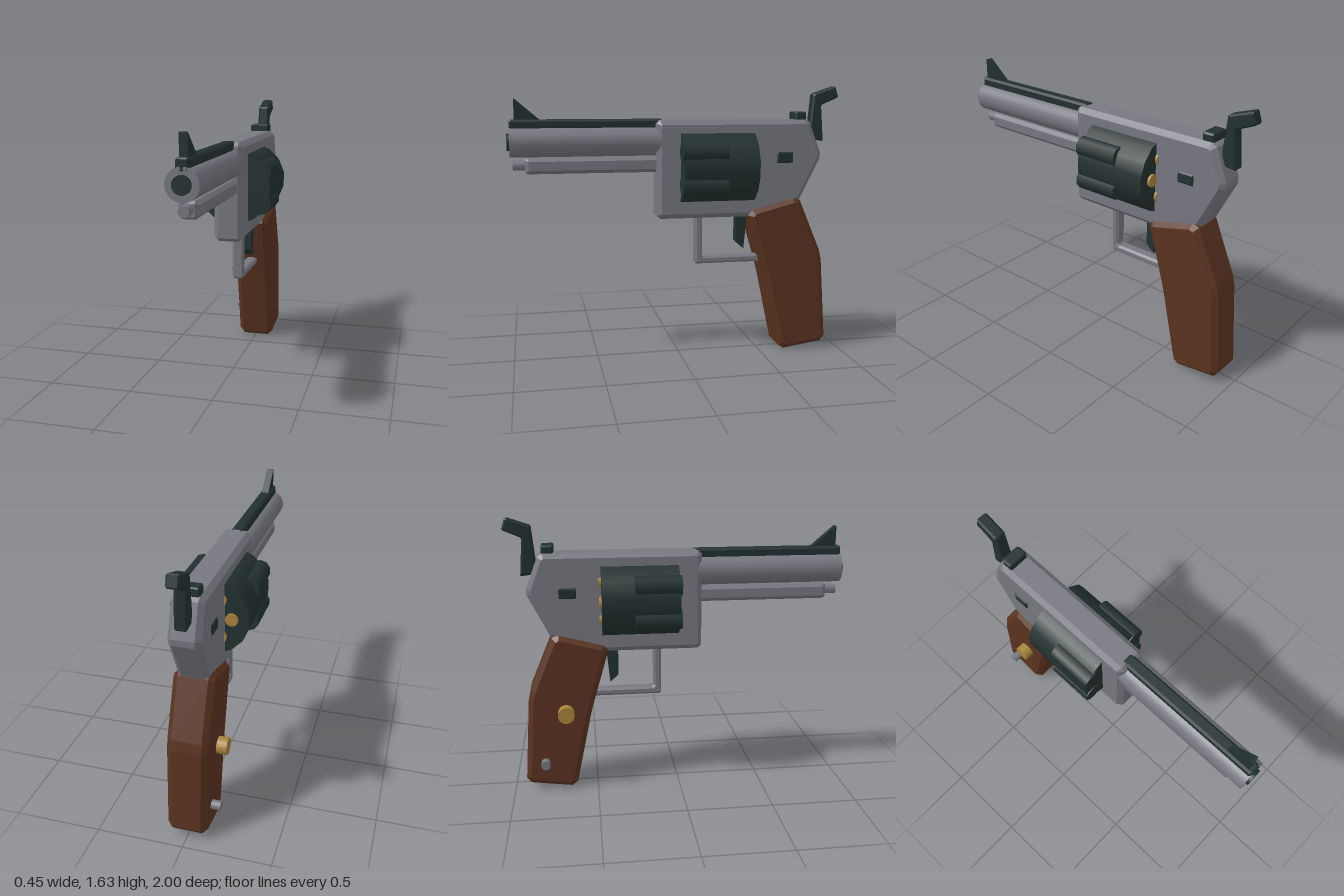
import * as THREE from 'three';

const material = (name, color) => {
  const m = new THREE.MeshStandardMaterial({ color });
  m.name = name;
  return m;
};

export function createModel() {
  const steel = material('grey steel', 0x777880);
  const dark = material('dark metal', 0x233030);
  const wood = material('brown wood', 0x5a3320);
  const brass = material('brass', 0xa9843a);
  const model = new THREE.Group();
  model.name = 'revolver';

  const add = (name, geometry, mat, x = 0, y = 0, z = 0) => {
    const mesh = new THREE.Mesh(geometry, mat);
    mesh.name = name;
    mesh.position.set(x, y, z);
    model.add(mesh);
    return mesh;
  };

  // Bevelled plate from a side outline of [z, y] points, centred on x = 0;
  // cut trims every outline corner
  const plate = (name, points, halfWidth, bevel, cut, mat) => {
    const pts = points.map(([z, y]) => new THREE.Vector2(z, y));
    const outline = [];
    pts.forEach((p, i) => {
      const toward = (q) => p.clone().add(q.clone().sub(p).setLength(cut));
      if (cut === 0) outline.push(p);
      else outline.push(
        toward(pts[(i + pts.length - 1) % pts.length]),
        toward(pts[(i + 1) % pts.length]));
    });
    const depth = 2 * (halfWidth - bevel);
    const g = new THREE.ExtrudeGeometry(new THREE.Shape(outline), {
      depth, bevelEnabled: bevel > 0, bevelThickness: bevel,
      bevelSize: bevel, bevelOffset: -bevel, bevelSegments: 1,
    });
    g.translate(0, 0, -depth / 2).rotateY(-Math.PI / 2);
    return add(name, g, mat);
  };
  const bar = (name, z0, z1, y0, y1, halfWidth, bevel, mat) =>
    plate(name, [[z0, y0], [z1, y0], [z1, y1], [z0, y1]], halfWidth, bevel, bevel * 0.6, mat);

  // Round part lying along z
  const rod = (name, r, z0, z1, x, y, mat, sides = 24, turn = 0) => {
    const g = new THREE.CylinderGeometry(r, r, z1 - z0, sides);
    g.rotateY(turn).rotateX(Math.PI / 2);
    return add(name, g, mat, x, y, (z0 + z1) / 2);
  };

  // Frame
  plate('frame', [[0.14, 0.85], [0.14, 1.435], [-0.8, 1.435], [-0.885, 1.215],
    [-0.745, 0.935], [-0.56, 0.85]], 0.088, 0.028, 0.02, steel);
  bar('frameButton', -0.695, -0.595, 1.175, 1.24, 0.096, 0.008, dark);

  // Barrel group
  rod('barrel', 0.088, 0.1, 0.985, 0, 1.313, steel, 32);
  rod('bore', 0.049, 0.9, 1.0, 0, 1.313, dark);
  bar('topRib', 0.1, 0.985, 1.37, 1.442, 0.036, 0.012, dark);
  plate('frontSight', [[0.955, 1.42], [0.955, 1.56], [0.95, 1.56], [0.81, 1.44],
    [0.81, 1.42]], 0.022, 0, 0, dark);
  bar('underBarrel', 0.1, 0.9, 1.13, 1.222, 0.055, 0.02, steel);
  rod('ejectorTip', 0.03, 0.85, 0.97, 0, 1.18, steel, 12);

  // Cylinder with six raised lobes and cartridge rims
  const cy = 1.155;
  rod('cylinder', 0.225, -0.45, 0, 0, cy, dark, 16, Math.PI / 16);
  for (let i = 0; i < 6; i++) {
    const a = (i * Math.PI) / 3;
    const b = a + Math.PI / 6;
    rod('cylinderLobe', 0.061, -0.262, 0.008,
      0.195 * Math.cos(b), cy + 0.195 * Math.sin(b), dark, 10);
    rod('cartridgeRim', 0.036, -0.465, -0.44,
      0.128 * Math.cos(a), cy + 0.128 * Math.sin(a), brass, 16);
  }

  // Rear sight and hammer
  bar('rearSight', -0.785, -0.715, 1.427, 1.48, 0.062, 0.01, dark);
  plate('hammer', [[-0.812, 1.315], [-0.908, 1.3], [-0.89, 1.52], [-1.0, 1.567],
    [-0.978, 1.635], [-0.838, 1.587]], 0.035, 0.01, 0.007, dark);

  // Trigger and guard
  plate('trigger', [[-0.357, 0.88], [-0.43, 0.88], [-0.408, 0.645], [-0.357, 0.69]],
    0.027, 0, 0, dark);
  plate('triggerGuard', [[-0.1, 0.88], [-0.1, 0.56], [-0.54, 0.56], [-0.54, 0.605],
    [-0.145, 0.605], [-0.145, 0.88]], 0.036, 0.012, 0.01, steel);

  // Grip with two studs on its right side
  plate('grip', [[-0.41, 0.885], [-0.735, 0.972], [-0.893, 0.6], [-0.933, 0.042],
    [-0.63, 0.0], [-0.525, 0.49]], 0.114, 0.03, 0.03, wood);
  const stud = (name, r, length, y, z, mat) => {
    const g = new THREE.CylinderGeometry(r, r, length, 20).rotateZ(Math.PI / 2);
    add(name, g, mat, -0.1 - length / 2, y, z);
  };
  stud('gripStud', 0.049, 0.072, 0.49, -0.677, brass);
  stud('gripPin', 0.027, 0.068, 0.177, -0.81, steel);

  return model;
}
